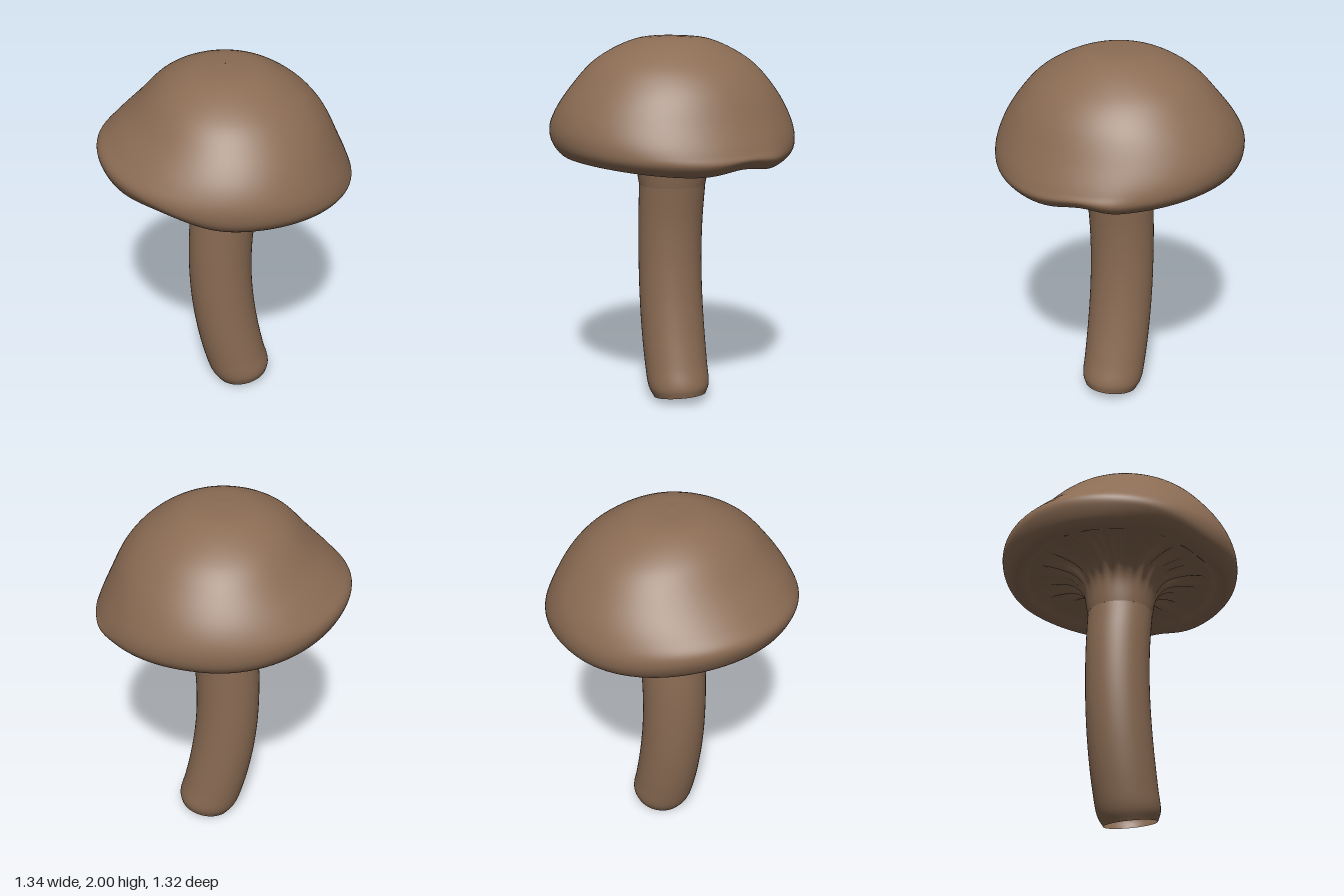
import * as THREE from 'three';

const brown = new THREE.MeshStandardMaterial({ color: 0x8b6c54, side: THREE.DoubleSide });
brown.name = 'mushroomBrown';

// Closed-ring surface; point(t, angle) runs from top to bottom
function loft(name, rows, cols, point) {
  const pos = [], index = [];
  for (let i = 0; i <= rows; i++)
    for (let j = 0; j < cols; j++) pos.push(...point(i / rows, (j / cols) * Math.PI * 2));
  for (let i = 0; i < rows; i++)
    for (let j = 0; j < cols; j++) {
      const k = (j + 1) % cols;
      const a = i * cols + j, b = i * cols + k, c = a + cols, d = b + cols;
      index.push(a, b, c, b, d, c);
    }
  const g = new THREE.BufferGeometry();
  g.setAttribute('position', new THREE.Float32BufferAttribute(pos, 3));
  g.setIndex(index);
  g.computeVertexNormals();
  const mesh = new THREE.Mesh(g, brown);
  mesh.name = name;
  return mesh;
}

const curve = pts => new THREE.CatmullRomCurve3(pts.map(p => new THREE.Vector3(p[0], p[1], p[2] || 0)));

// Radius and height profiles: crown, rim, lip, then underside to the stem
const side = curve([[0.002, 2], [0.2, 1.98], [0.42, 1.87], [0.55, 1.73], [0.63, 1.6], [0.658, 1.5], [0.645, 1.42],
  [0.6, 1.37], [0.55, 1.37], [0.5, 1.41], [0.38, 1.43], [0.27, 1.41], [0.21, 1.34], [0.18, 1.2]]);
const left = curve([[0.002, 2], [0.2, 1.98], [0.40, 1.86], [0.51, 1.74], [0.6, 1.56], [0.655, 1.43], [0.665, 1.38],
  [0.6, 1.32], [0.55, 1.335], [0.5, 1.37], [0.38, 1.4], [0.27, 1.38], [0.21, 1.31], [0.18, 1.2]]);
const right = curve([[0.002, 2], [0.18, 1.985], [0.33, 1.91], [0.48, 1.76], [0.6, 1.65], [0.665, 1.58], [0.665, 1.53],
  [0.61, 1.44], [0.55, 1.44], [0.5, 1.46], [0.38, 1.46], [0.27, 1.43], [0.21, 1.36], [0.18, 1.2]]);
const LIP = 8 / 13;

const bump = (a, at, width) => {
  const d = Math.atan2(Math.sin(a - at), Math.cos(a - at)) / width;
  return Math.exp(-d * d);
};

function capPoint(t, a) {
  const c = Math.cos(a), s = Math.sin(a);
  const p = side.getPoint(t).lerp((c > 0 ? left : right).getPoint(t), c * c);
  // Uneven rim
  const rim = bump(t, 0.54, 0.13);
  p.y += rim * (0.045 * bump(a, 2.2, 0.4) + 0.03 * bump(a, -0.2, 0.25));
  p.x += rim * 0.02 * bump(a, -0.43, 0.16);
  // Gill folds
  if (t > LIP) {
    const fold = Math.sin(Math.PI * (t - LIP) / (1 - LIP));
    p.y += 0.012 * fold * fold * (Math.cos(24 * a) + 0.7 * Math.cos(17 * a + 1));
  }
  return [p.x * c, p.y, p.x * s];
}

// Stem centre line (x, y, radius), bending to a slanted open foot
const stemLine = curve([[0, 1.2, 0.18], [-0.022, 1, 0.176], [-0.028, 0.8, 0.174], [-0.018, 0.6, 0.174],
  [0.008, 0.4, 0.174], [0.05, 0.2, 0.172], [0.085, 0.08, 0.166], [0.1, 0.028, 0.143]]);

function stemPoint(t, a) {
  const p = stemLine.getPoint(t);
  const dx = p.z * Math.cos(a);
  return [p.x + dx, p.y + 0.18 * t * t * dx, p.z * Math.sin(a)];
}

export function createModel() {
  const group = new THREE.Group();
  group.name = 'mushroom';
  group.add(
    loft('cap', 56, 96, (t, a) => capPoint(t * LIP, a)),
    loft('gills', 36, 192, (t, a) => capPoint(LIP + t * (1 - LIP), a)),
    loft('stem', 40, 48, stemPoint)
  );
  return group;
}
